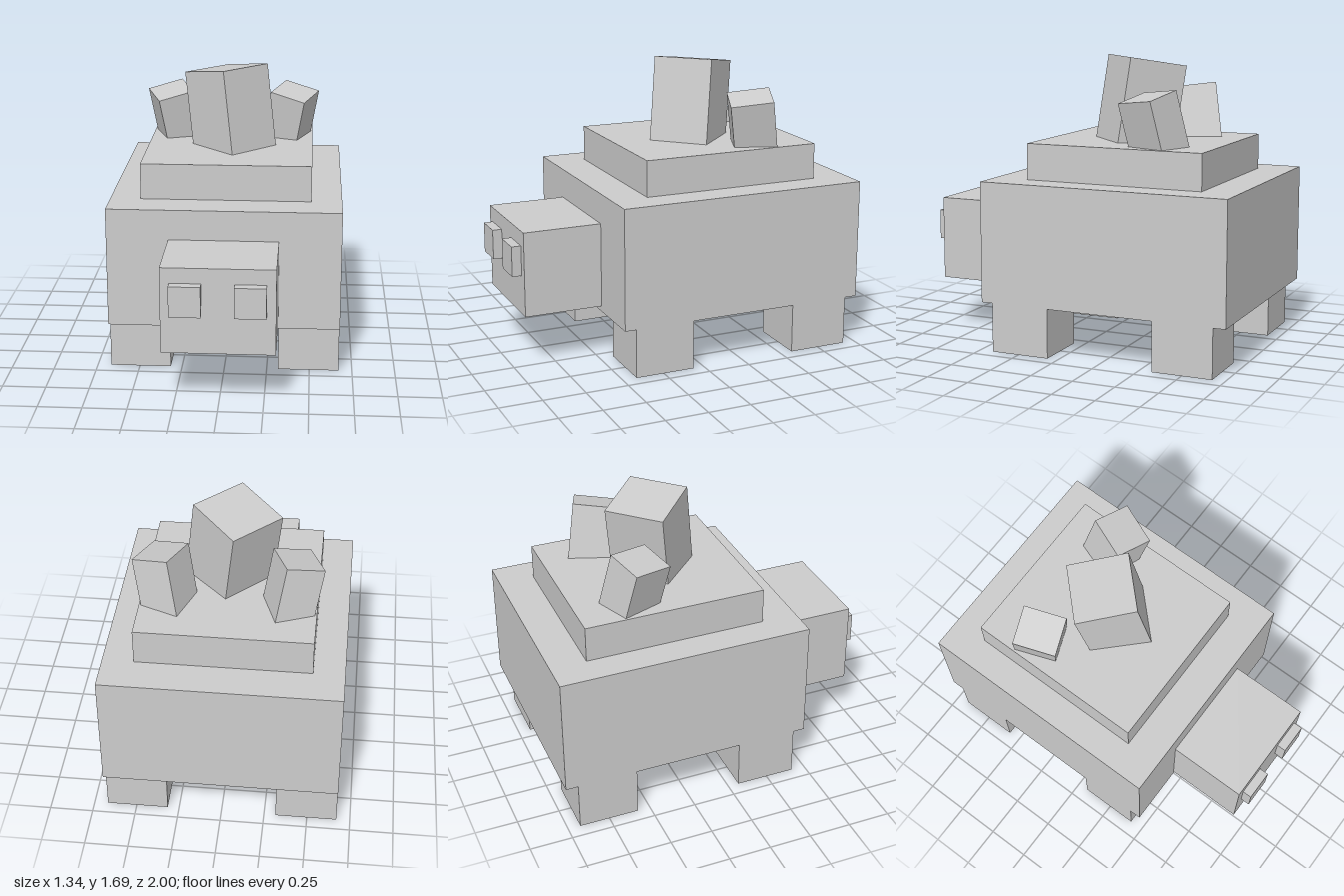
import * as THREE from 'three';

export function createModel() {
  const group = new THREE.Group();
  const stone = new THREE.MeshStandardMaterial({ color: 0xcccccc });
  stone.name = 'stoneGrey';

  // Axis-aligned block given by its extents
  function block(name, [x0, x1], [y0, y1], [z0, z1]) {
    const mesh = new THREE.Mesh(new THREE.BoxGeometry(x1 - x0, y1 - y0, z1 - z0), stone);
    mesh.position.set((x0 + x1) / 2, (y0 + y1) / 2, (z0 + z1) / 2);
    mesh.name = name;
    group.add(mesh);
  }

  // Leaning block hung from the centre of its top, sunk into the back plate
  function crystal(name, [w, h, d], top, up, forward) {
    const y = new THREE.Vector3(...up).normalize();
    const x = new THREE.Vector3().crossVectors(y, new THREE.Vector3(...forward)).normalize();
    const z = new THREE.Vector3().crossVectors(x, y);
    const geometry = new THREE.BoxGeometry(w, h, d).translate(0, -h / 2, 0);
    const mesh = new THREE.Mesh(geometry, stone);
    mesh.quaternion.setFromRotationMatrix(new THREE.Matrix4().makeBasis(x, y, z));
    mesh.position.set(...top);
    mesh.name = name;
    group.add(mesh);
  }

  // Body, raised back plate and head
  block('body', [-0.672, 0.672], [0.287, 0.99], [-1, 0.485]);
  block('backPlate', [-0.495, 0.495], [0.99, 1.2], [-0.79, 0.275]);
  block('head', [-0.316, 0.316], [0.32, 0.814], [0.485, 0.945]);

  // Paired parts
  for (const [side, s] of [['left', 1], ['right', -1]]) {
    const span = (a, b) => (s > 0 ? [a, b] : [-b, -a]);
    block(side + 'Eye', span(0.09, 0.265), [0.55, 0.726], [0.945, 1]);
    block(side + 'FrontLeg', span(0.317, 0.671), [0, 0.287], [0.065, 0.417]);
    block(side + 'BackLeg', span(0.317, 0.671), [0, 0.287], [-0.927, -0.574]);
    crystal(side + 'Crystal', [0.222, 0.38, 0.248], [s * 0.383, 1.482, -0.42],
      [s * 0.17, 1, 0.19], [s * -0.09, -0.03, 0.23]);
  }

  // Large middle crystal, set diagonally
  crystal('middleCrystal', [0.353, 0.58, 0.353], [-0.03, 1.66, -0.25],
    [-0.114, 1, -0.114], [-1, 0, 1]);

  return group;
}
